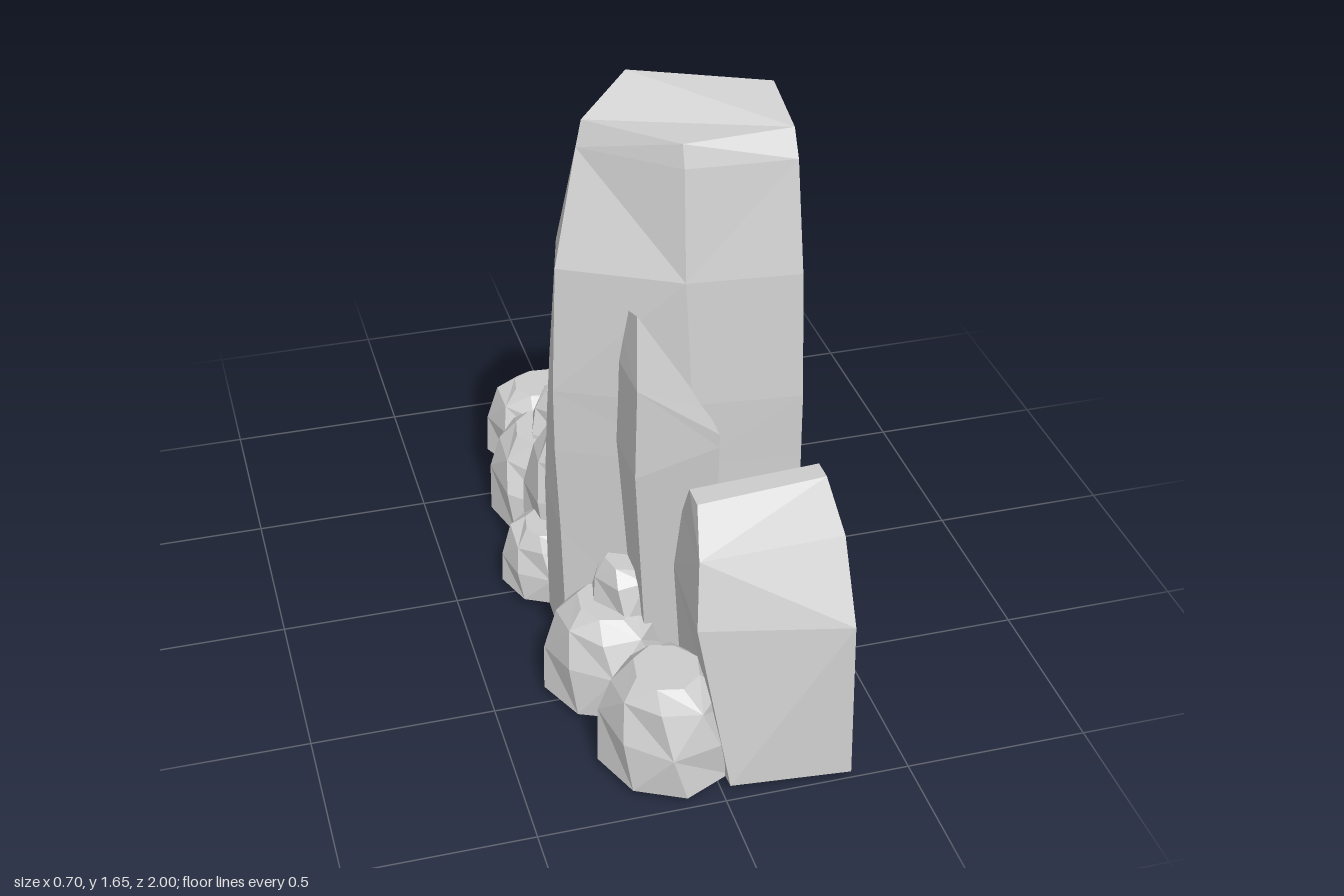
import * as THREE from 'three';

const rock = new THREE.MeshStandardMaterial({ color: 0xcccccc, flatShading: true, side: THREE.DoubleSide });

// Skins rings of [x, y, z] points (bottom to top, clockwise from above) and caps the top
function loft(name, rings, closed) {
  const pos = [];
  const tri = (a, b, c) => pos.push(...a, ...b, ...c);
  const n = rings[0].length;
  for (let i = 0; i < rings.length - 1; i++) {
    for (let j = 0; j < (closed ? n : n - 1); j++) {
      const k = (j + 1) % n;
      const a = rings[i][j], b = rings[i][k], c = rings[i + 1][k], d = rings[i + 1][j];
      if ((i + j) % 2) { tri(a, d, c); tri(a, c, b); } else { tri(a, d, b); tri(d, c, b); }
    }
  }
  const top = rings[rings.length - 1];
  for (let j = 1; j < n - 1; j++) tri(top[0], top[j + 1], top[j]);
  const geo = new THREE.BufferGeometry();
  geo.setAttribute('position', new THREE.Float32BufferAttribute(pos, 3));
  geo.computeVertexNormals();
  const mesh = new THREE.Mesh(geo, rock);
  mesh.name = name;
  return mesh;
}

// Level ring from [x, z] pairs
const level = (y, pts) => pts.map(([x, z]) => [x, y, z]);

// Chunky faceted boulder with steep sides and a broad blunt top
function boulder([x, z, rx, rz, y0, y1], index) {
  let seed = index * 97 + 13;
  const rnd = () => (seed = (seed * 16807) % 2147483647) / 2147483647;
  for (let i = 0; i < 5; i++) rnd();
  const sides = rx > 0.13 ? 8 : 6;
  const wobble = Array.from({ length: sides }, () => 0.93 + 0.12 * rnd());
  const steps = [[0, 1], [0.45, 0.96], [0.82, 0.78], [1, 0.48]];
  const rings = steps.map(([t, s], r) => wobble.map((w, j) => {
    const a = (j + 0.25 * r) / sides * Math.PI * 2;
    const lift = r === 0 || r === 3 ? 0 : (rnd() - 0.5) * 0.14;
    return [x - Math.sin(a) * rx * s * w, y0 + (y1 - y0) * (t + lift), z + Math.cos(a) * rz * s * w];
  }));
  return loft('boulder' + (index + 1), rings, true);
}

export function createModel() {
  const group = new THREE.Group();
  group.name = 'rockFormation';

  // Tall cliff, cut open along its flat side
  group.add(loft('cliff', [
    level(0.02, [[0.34, 0.56], [0.1, 0.52], [-0.26, 0.36], [-0.25, 0.1], [-0.1, -0.35], [0.05, -0.87], [0.34, -1]]),
    level(0.45, [[0.34, 0.525], [0.07, 0.5], [-0.27, 0.34], [-0.26, 0.12], [-0.08, -0.28], [0.07, -0.62], [0.34, -0.75]]),
    level(0.7, [[0.34, 0.515], [0.06, 0.49], [-0.28, 0.33], [-0.25, 0.12], [-0.08, -0.17], [0.1, -0.4], [0.34, -0.48]]),
    level(0.88, [[0.34, 0.51], [0.05, 0.48], [-0.28, 0.32], [-0.24, 0.12], [-0.08, -0.1], [0.1, -0.28], [0.34, -0.36]]),
    level(1.22, [[0.34, 0.47], [0.04, 0.44], [-0.26, 0.28], [-0.22, 0.13], [-0.1, 0], [0.08, -0.16], [0.34, -0.26]]),
    level(1.51, [[0.34, 0.4], [0.05, 0.38], [-0.18, 0.19], [-0.16, 0.14], [-0.08, 0.06], [0.06, 0], [0.34, -0.05]]),
    [[0.34, 1.58, 0.36], [0.05, 1.57, 0.36], [-0.16, 1.575, 0.17], [-0.09, 1.615, 0.125], [-0.02, 1.655, 0.08], [0.1, 1.647, 0.117], [0.34, 1.63, 0.19]],
  ], false));

  // Hollow spire with a sloping roof, piercing the cliff's front wall
  group.add(loft('spire', [
    [[0.12, 0, 0.48], [-0.08, 0.02, 0.54], [-0.12, 0.02, 0.03], [0, 0.02, -0.01]],
    level(0.75, [[0.12, 0.5], [-0.13, 0.58], [-0.13, 0.18], [0.02, 0.14]]),
    [[0.12, 0.79, 0.5], [-0.12, 1, 0.56], [-0.12, 0.97, 0.2], [0.04, 0.84, 0.17]],
    [[0.09, 0.86, 0.48], [-0.09, 1.15, 0.45], [-0.1, 1.09, 0.25], [0.04, 0.88, 0.2]],
  ], false));

  // Low front rock, cut open along the same side
  group.add(loft('frontRock', [
    level(0.02, [[0.34, 1], [0.02, 0.97], [0, 0.6], [0.34, 0.52]]),
    level(0.47, [[0.34, 0.97], [-0.05, 0.88], [-0.03, 0.6], [0.34, 0.53]]),
    [[0.34, 0.68, 0.86], [-0.03, 0.64, 0.82], [-0.01, 0.64, 0.6], [0.34, 0.69, 0.57]],
    [[0.34, 0.76, 0.71], [-0.01, 0.75, 0.73], [-0.01, 0.75, 0.66], [0.34, 0.76, 0.65]],
  ], false));

  // Boulders along the foot: x, z, x radius, z radius, bottom, top
  [
    [-0.1, 0.78, 0.18, 0.2, 0.02, 0.29],
    [-0.17, 0.46, 0.18, 0.2, 0.02, 0.28],
    [-0.12, 0.43, 0.1, 0.13, 0.15, 0.39],
    [-0.22, -0.04, 0.14, 0.16, 0.02, 0.2],
    [-0.1, -0.16, 0.17, 0.17, 0.1, 0.44],
    [-0.15, -0.4, 0.17, 0.22, 0.02, 0.28],
    [-0.07, -0.39, 0.12, 0.12, 0.2, 0.41],
    [-0.08, -0.71, 0.17, 0.17, 0.02, 0.24],
    [-0.03, -0.6, 0.09, 0.09, 0.14, 0.27],
    [0.02, -0.78, 0.07, 0.09, 0.02, 0.22],
  ].forEach((b, i) => group.add(boulder(b, i)));

  return group;
}
